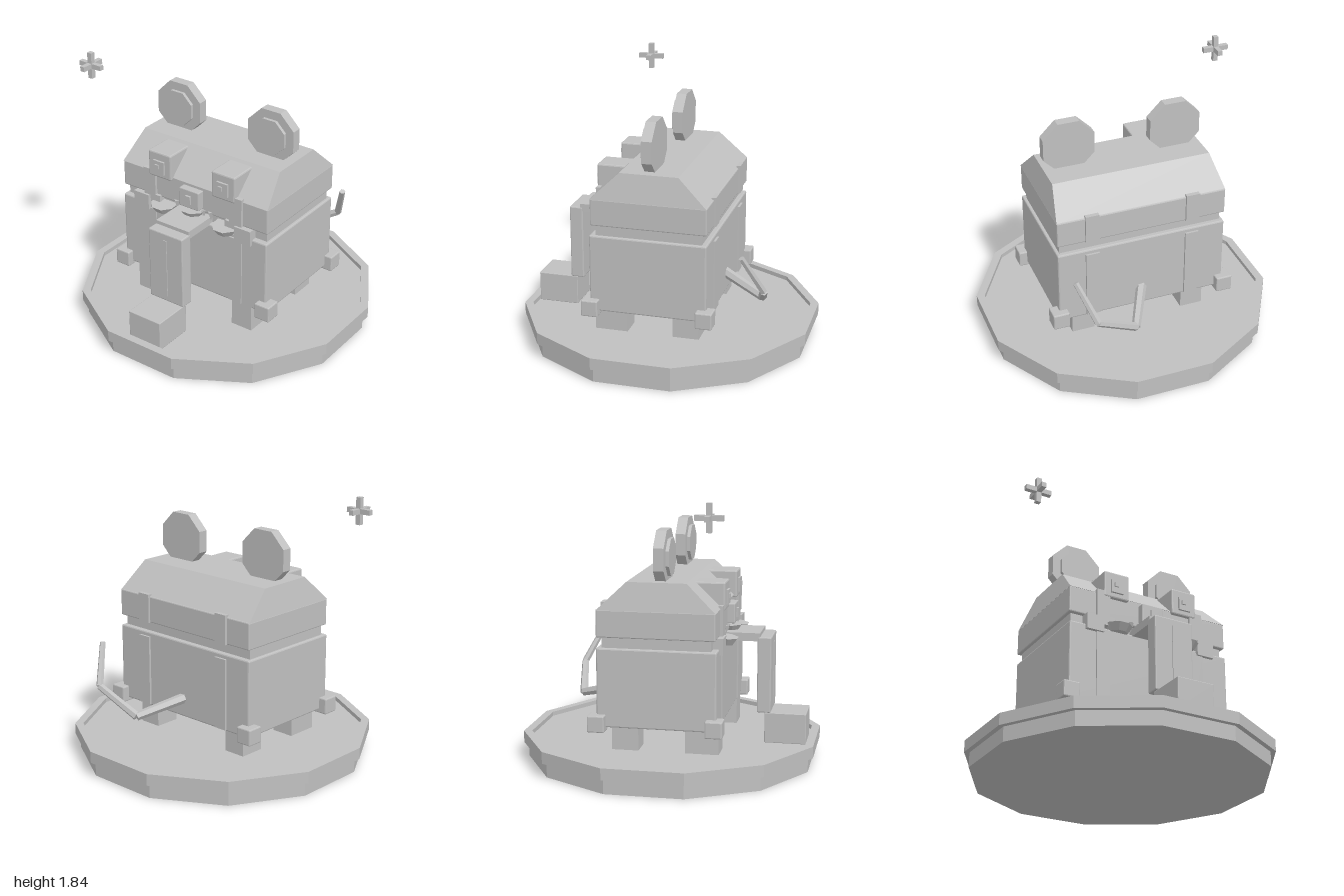
import * as THREE from 'three';
import { RoundedBoxGeometry } from 'three/addons/geometries/RoundedBoxGeometry.js';

export function createModel() {
  const root = new THREE.Group();
  root.name = 'chestCreature';
  const grey = new THREE.MeshStandardMaterial({ color: 0xc0c0c0, flatShading: true });
  grey.name = 'stoneGrey';

  const add = (name, geo, x = 0, y = 0, z = 0) => {
    const m = new THREE.Mesh(geo, grey);
    m.name = name;
    m.position.set(x, y, z);
    root.add(m);
    return m;
  };
  // box given by its lower and upper limits on each axis, optionally bevelled
  const box = (name, x0, x1, y0, y1, z0, z1, bevel = 0) => {
    const s = [x1 - x0, y1 - y0, z1 - z0];
    const geo = bevel ? new RoundedBoxGeometry(...s, 1, bevel) : new THREE.BoxGeometry(...s);
    return add(name, geo, (x0 + x1) / 2, (y0 + y1) / 2, (z0 + z1) / 2);
  };
  // round bar between two points
  const bar = (name, a, b, r0, r1) => {
    const p = new THREE.Vector3(...a), q = new THREE.Vector3(...b);
    const d = q.clone().sub(p);
    const m = add(name, new THREE.CylinderGeometry(r1, r0, d.length(), 6));
    m.position.copy(p).add(q).multiplyScalar(0.5);
    m.quaternion.setFromUnitVectors(new THREE.Vector3(0, 1, 0), d.normalize());
  };

  // twelve-sided stepped base with a shallow rim
  const profile = [[0, 0], [1.0, 0], [1.0, 0.1], [1.035, 0.1], [1.035, 0.18], [0.978, 0.18], [0.978, 0.15], [0, 0.15]];
  const base = add('base', new THREE.LatheGeometry(profile.map(p => new THREE.Vector2(...p)), 12));
  base.rotation.y = Math.PI / 12;

  // chest body, recessed mouth band and lid
  box('body', -0.595, 0.595, 0.33, 0.86, -0.395, 0.4, 0.01);
  box('mouthBand', -0.573, 0.573, 0.84, 0.95, -0.36, 0.36);
  box('lidRim', -0.595, 0.595, 0.93, 1.115, -0.395, 0.39, 0.008);
  const lidGeo = new THREE.BoxGeometry(1.19, 0.185, 0.785);
  const p = lidGeo.attributes.position;
  for (let i = 0; i < p.count; i++) {
    if (p.getY(i) > 0) {
      p.setX(i, Math.sign(p.getX(i)) * 0.555);
      p.setZ(i, Math.sign(p.getZ(i)) * 0.198);
    }
  }
  lidGeo.computeVertexNormals();
  add('lidTop', lidGeo, 0, 1.2025, 0);

  for (const s of [-1, 1]) {
    // legs
    box('frontLeg', s * 0.402 - 0.08, s * 0.402 + 0.08, 0.15, 0.34, 0.175, 0.4);
    box('backLeg', s * 0.402 - 0.08, s * 0.402 + 0.08, 0.15, 0.34, -0.32, -0.14);

    // straps and corner guards
    for (const f of [-1, 1]) {
      const strap = (n, y0, y1) => {
        const z = f * 0.395;
        box(n, s * 0.355 - 0.048, s * 0.355 + 0.048, y0, y1, z - 0.015, z + 0.015);
      };
      strap('bodyStrap', 0.34, 0.83);
      strap('lidStrap', 0.93, 1.13);
      box('cornerGuard', s * 0.595 - 0.057, s * 0.595 + 0.057, 0.305, 0.417, f * 0.39 - 0.057, f * 0.39 + 0.057, 0.008);
    }

    // latches at the mouth corners
    box('latch', s * 0.42 - 0.063, s * 0.42 + 0.063, 0.82, 0.93, 0.34, 0.425);
    box('latchPlate', s * 0.31 - 0.04, s * 0.31 + 0.04, 0.88, 0.945, 0.34, 0.41);

    // tapered lip cups
    const cup = add('lipCup', new THREE.CylinderGeometry(0.095, 0.065, 0.05, 8), s * 0.255 + 0.015, 0.875, 0.395);
    cup.rotation.set(0.1, Math.PI / 8, 0);

    // eyes
    const ex = s * 0.26;
    box('eyeBlock', ex - 0.093, ex + 0.093, 1.09, 1.277, 0.2, 0.415, 0.01);
    box('iris', ex - 0.044, ex + 0.044, 1.125, 1.22, 0.41, 0.43);
    box('eyeGlint', ex - 0.025, ex + 0.005, 1.165, 1.195, 0.425, 0.44);

    // octagonal ears
    const ear = (name, r, d, z) => {
      const g = new THREE.CylinderGeometry(r, r, d, 8);
      g.rotateY(Math.PI / 8).rotateX(Math.PI / 2);
      add(name, g, s * 0.376, 1.442, z);
    };
    ear('ear', 0.193, 0.07, 0.013);
    ear('innerEar', 0.13, 0.025, 0.058);

    // small teeth under the lid
    for (const x of [0.08, 0.14]) {
      const tooth = add('tooth', new THREE.ConeGeometry(0.025, 0.07, 4), s * x, 0.915, 0.385);
      tooth.rotation.x = Math.PI;
    }
  }

  // nose
  box('nose', -0.08, 0.08, 0.955, 1.09, 0.37, 0.44, 0.006);
  box('noseMark', -0.02, 0.02, 0.99, 1.05, 0.435, 0.455);
  const lip = add('middleLip', new THREE.CylinderGeometry(0.095, 0.06, 0.05, 8), 0, 0.915, 0.39);
  lip.rotation.y = Math.PI / 8;

  // tongue that hangs onto a block
  box('tongueRoot', -0.135, 0.135, 0.85, 0.905, 0.35, 0.62);
  box('tongue', -0.14, 0.138, 0.36, 0.88, 0.603, 0.697, 0.008);
  box('tongueGroove', -0.014, 0.011, 0.4, 0.83, 0.69, 0.703);
  box('tongueTip', -0.13, 0.13, 0.15, 0.36, 0.655, 0.937, 0.005);

  // jointed tail
  const tail = [[0, 0.46, -0.38], [0.155, 0.37, -0.68], [0.445, 0.53, -0.745], [0.55, 0.79, -0.615]];
  const radii = [0.036, 0.03, 0.025, 0.02];
  for (let i = 0; i < 3; i++) bar('tailSegment', tail[i], tail[i + 1], radii[i], radii[i + 1]);

  // floating sparkle
  for (let a = 0; a < 3; a++) {
    const s = [0.034, 0.034, 0.034];
    s[a] = 0.182;
    add('sparkle', new THREE.BoxGeometry(...s), -0.845, 1.752, 0.39);
  }
  return root;
}
